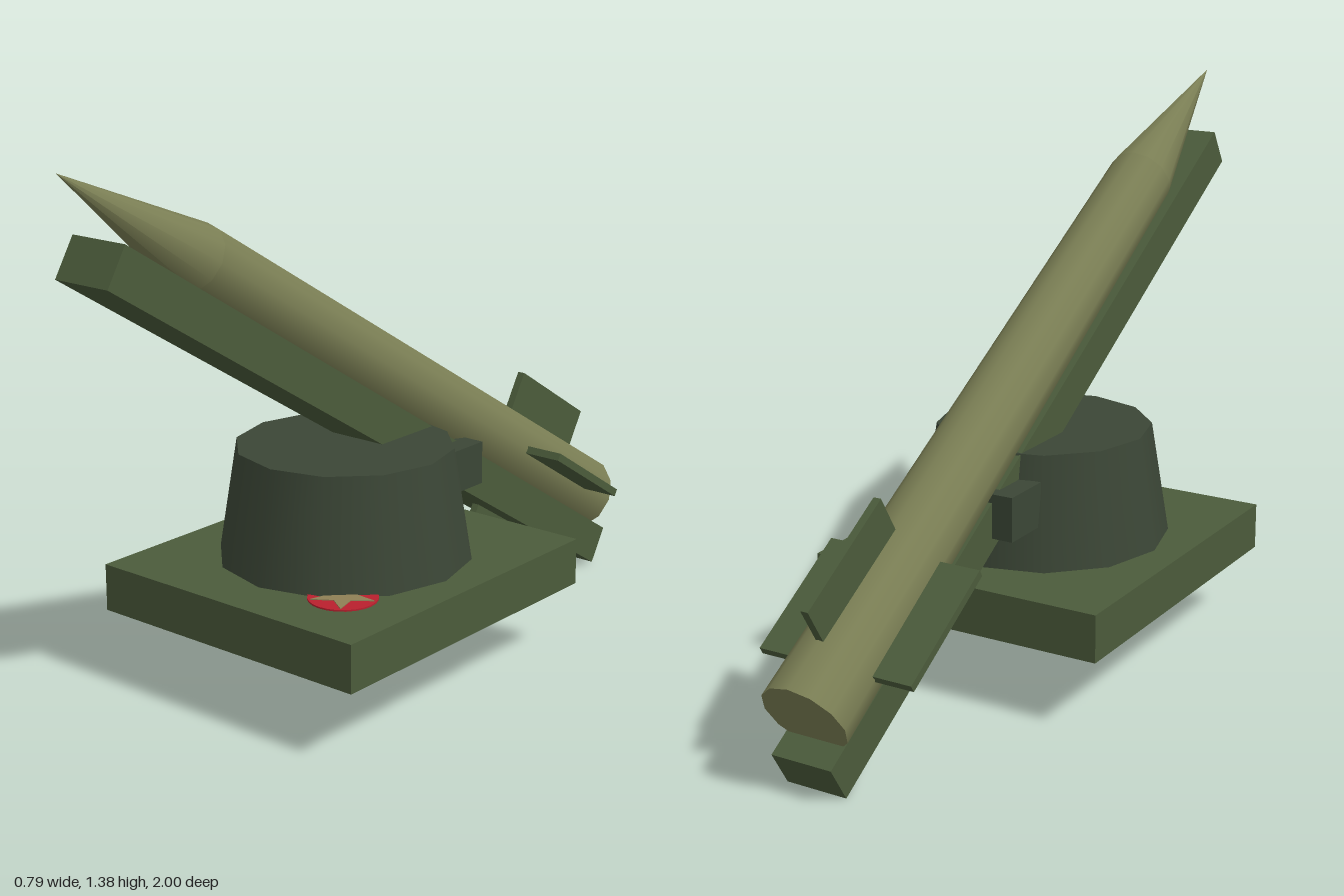
import * as THREE from 'three';

const material = (name, color) => {
  const m = new THREE.MeshStandardMaterial({ color });
  m.name = name;
  return m;
};

export function createModel() {
  const green = material('army green', 0x4b5b3b);
  const dark = material('dark green', 0x3b4636);
  const olive = material('olive', 0x7a7e54);
  const red = material('red', 0xb9202e);
  const khaki = material('khaki', 0x8f8055);

  const model = new THREE.Group();
  model.name = 'missileLauncher';

  const add = (parent, name, geometry, mat, x = 0, y = 0, z = 0) => {
    const mesh = new THREE.Mesh(geometry, mat);
    mesh.name = name;
    mesh.position.set(x, y, z);
    parent.add(mesh);
    return mesh;
  };

  // Fixed parts: base slab, tapered turret and the pivot block behind it
  add(model, 'base', new THREE.BoxGeometry(0.79, 0.12, 0.89), green, 0, 0.24, 0.097);
  add(model, 'turret', new THREE.CylinderGeometry(0.273, 0.319, 0.285, 12), dark, 0, 0.4425, 0.097);
  add(model, 'pivotBlock', new THREE.BoxGeometry(0.272, 0.112, 0.135), dark, 0, 0.466, -0.222);

  // Painted roundel on the base, partly under the turret
  add(model, 'roundel', new THREE.CylinderGeometry(0.085, 0.085, 0.004, 24), red, 0.2, 0.302, 0.34);
  const star = new THREE.Shape();
  for (let i = 0; i < 10; i++) {
    const a = Math.PI / 2 + (i * Math.PI) / 5;
    const r = i % 2 ? 0.034 : 0.08;
    star[i ? 'lineTo' : 'moveTo'](r * Math.cos(a), r * Math.sin(a));
  }
  star.closePath();
  const starGeometry = new THREE.ExtrudeGeometry(star, { depth: 0.003, bevelEnabled: false });
  add(model, 'roundelStar', starGeometry.rotateX(-Math.PI / 2), khaki, 0.2, 0.303, 0.34);

  // Raised assembly: local +z points along the rail
  const launcher = new THREE.Group();
  launcher.name = 'launcher';
  launcher.position.set(0, 0.611, -0.008);
  launcher.rotation.x = -THREE.MathUtils.degToRad(31.5);
  model.add(launcher);
  add(launcher, 'rail', new THREE.BoxGeometry(0.16, 0.104, 2.168), green);

  // Missile, centred on its own axis
  const missile = new THREE.Group();
  missile.name = 'missile';
  missile.position.y = 0.1255;
  launcher.add(missile);

  const tail = -1.018, shoulder = 0.797, tip = 1.259;
  const body = new THREE.CylinderGeometry(0.085, 0.108, shoulder - tail, 12).rotateX(Math.PI / 2);
  add(missile, 'missileBody', body, olive, 0, 0, (shoulder + tail) / 2);
  const nose = new THREE.ConeGeometry(0.085, tip - shoulder, 12).rotateX(Math.PI / 2);
  add(missile, 'missileNose', nose, olive, 0, 0, (tip + shoulder) / 2);

  // Four flat fins around the tail
  for (let i = 0; i < 4; i++) {
    const fin = new THREE.BoxGeometry(0.02, 0.145, 0.332);
    fin.translate(0, 0.1325, -0.714);
    add(missile, 'fin', fin, green).rotation.z = (i * Math.PI) / 2;
  }

  return model;
}
